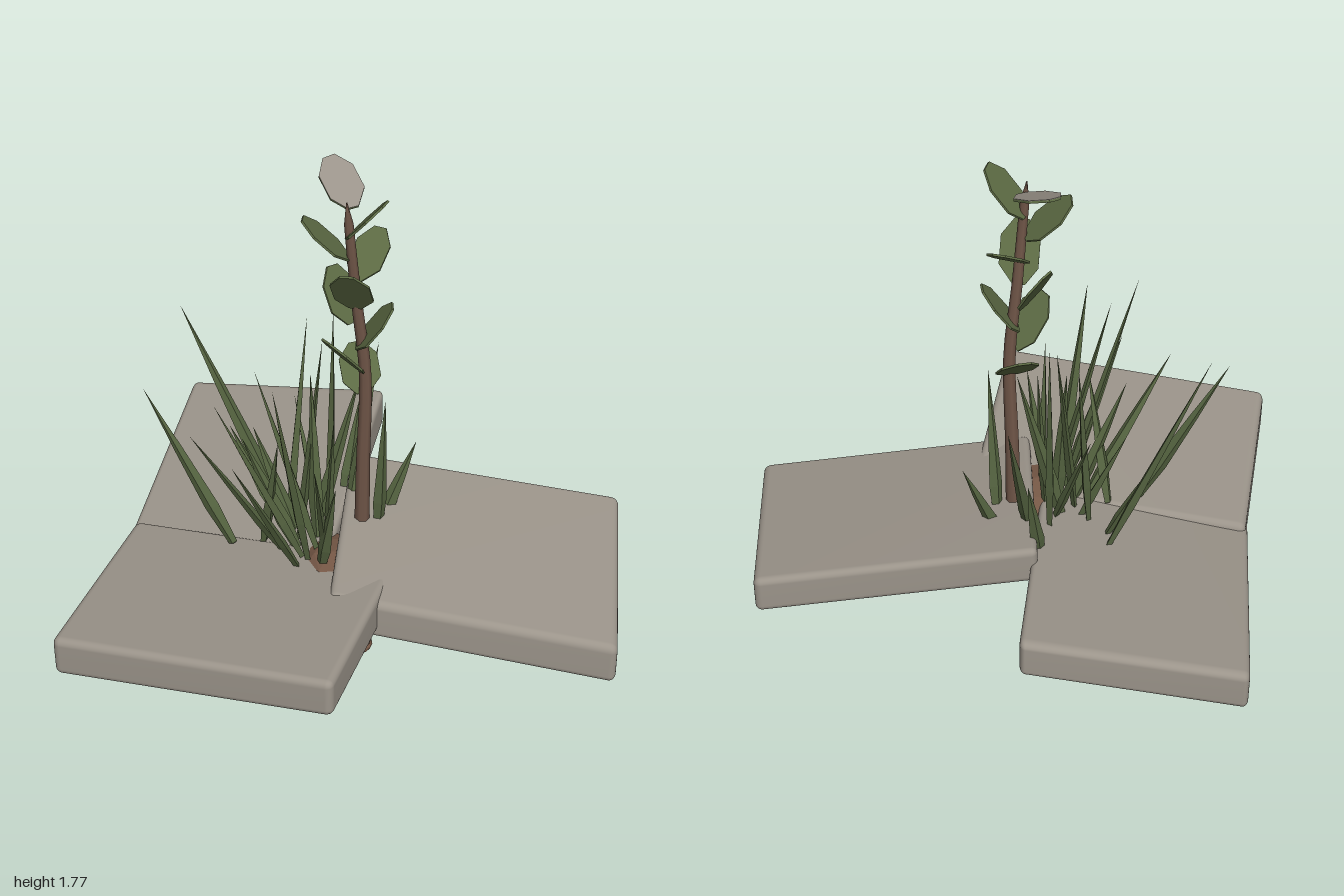
import * as THREE from 'three';
import { mergeVertices } from 'three/addons/utils/BufferGeometryUtils.js';
import { RoundedBoxGeometry } from 'three/addons/geometries/RoundedBoxGeometry.js';

const V = (a) => new THREE.Vector3(...a);

function material(name, color, extra = {}) {
  const m = new THREE.MeshStandardMaterial({ color, ...extra });
  m.name = name;
  return m;
}

function mesh(name, geometry, mat) {
  const m = new THREE.Mesh(geometry, mat);
  m.name = name;
  return m;
}

// Rounded slab bent to four corners, each [x, z, bottom, top], clockwise from above
function slabGeometry([a, b, c, d]) {
  const size = [1.04, 0.155, 0.78];
  let g = new RoundedBoxGeometry(...size, 3, 0.028);
  const p = g.attributes.position;
  const mix = THREE.MathUtils.lerp;
  for (let i = 0; i < p.count; i++) {
    const u = p.getX(i) / size[0] + 0.5;
    const h = p.getY(i) / size[1] + 0.5;
    const v = p.getZ(i) / size[2] + 0.5;
    const [x, z, low, top] = a.map((_, k) => mix(mix(a[k], b[k], u), mix(d[k], c[k], u), v));
    p.setXYZ(i, x, mix(low, top, h), z);
  }
  g.deleteAttribute('normal');
  g.deleteAttribute('uv');
  g.clearGroups();
  g = mergeVertices(g, 1e-4);
  g.computeVertexNormals();
  return g;
}

// Tapered stem that closes to a point at its top
function stemGeometry() {
  const curve = new THREE.CatmullRomCurve3([
    [0.03, 0.25, -0.02], [0.035, 0.6, -0.01], [0.043, 1.0, 0.0],
    [0.015, 1.3, 0.015], [-0.005, 1.55, 0.03], [-0.018, 1.71, 0.03],
  ].map(V));
  const rows = 18, sides = 7;
  const g = new THREE.TubeGeometry(curve, rows, 1, sides);
  const p = g.attributes.position, q = new THREE.Vector3();
  for (let i = 0; i < p.count; i++) {
    const row = Math.floor(i / (sides + 1));
    const centre = curve.getPointAt(row / rows);
    const r = row === rows ? 0.002 : 0.03 - 0.014 * row / rows;
    q.fromBufferAttribute(p, i).sub(centre).multiplyScalar(r).add(centre);
    p.setXYZ(i, q.x, q.y, q.z);
  }
  return g;
}

// Angular leaf plate, unit length along y and unit width along x
function leafGeometry(depth) {
  const outline = [[0.15, 0], [0.5, 0.3], [0.46, 0.74], [0.12, 1],
    [-0.22, 0.97], [-0.5, 0.68], [-0.46, 0.24], [-0.15, 0]];
  return new THREE.ExtrudeGeometry(
    new THREE.Shape(outline.map((q) => new THREE.Vector2(...q))),
    { depth, bevelEnabled: false });
}

// Place a part so that y runs from base to tip, with x along the given side
function align(part, base, tip, side, width, depth) {
  const from = V(base), y = V(tip).sub(from), length = y.length();
  y.normalize();
  const x = V(side).addScaledVector(y, -V(side).dot(y)).normalize();
  const z = new THREE.Vector3().crossVectors(x, y);
  part.quaternion.setFromRotationMatrix(new THREE.Matrix4().makeBasis(x, y, z));
  part.position.copy(from);
  part.scale.set(width, length, depth);
}

export function createModel() {
  const stone = material('stone', 0x9b948a);
  const bark = material('bark', 0x705648);
  const soil = material('soil', 0x765846, { flatShading: true });
  const leafGreen = material('leafGreen', 0x5d6b44, { flatShading: true });
  const grassGreen = material('grassGreen', 0x566541, { flatShading: true });

  const model = new THREE.Group();
  model.name = 'plantedStones';

  // Three overlapping paving slabs
  const slabs = {
    rightSlab: [[-0.045, -0.365, 0.235, 0.388], [0.99, -0.355, 0.105, 0.262],
      [1.0, 0.435, -0.005, 0.165], [-0.045, 0.41, 0.145, 0.305]],
    frontSlab: [[-0.84, -0.07, 0.05, 0.215], [0.185, 0.15, 0.13, 0.288],
      [0.025, 0.925, 0.19, 0.345], [-1.0, 0.705, 0.1, 0.265]],
    backSlab: [[-0.755, -0.93, 0.125, 0.29], [0.04, -0.825, 0.215, 0.375],
      [-0.09, 0.21, 0.1, 0.26], [-0.87, 0.1, 0.005, 0.17]],
  };
  for (const [name, corners] of Object.entries(slabs)) {
    model.add(mesh(name, slabGeometry(corners), stone));
  }

  // Soil showing in the gap between the slabs, and a clod squeezed out below
  const clods = [
    [-0.06, 0.21, 0.15, 0.13, 0.09, 0.19], [0.08, 0.155, 0.48, 0.04, 0.026, 0.05],
  ];
  const lump = new THREE.IcosahedronGeometry(1, 1);
  clods.forEach(([x, y, z, ...radii], i) => {
    const clod = mesh('soilClod' + (i + 1), lump, soil);
    clod.position.set(x, y, z);
    clod.scale.set(...radii);
    model.add(clod);
  });

  // Upright sapling: stem and leaves [base, tip, side direction, width]
  const sapling = new THREE.Group();
  sapling.name = 'sapling';
  sapling.add(mesh('stem', stemGeometry(), bark));
  const leaves = [
    [[0.0, 1.67, 0.0], [-0.1, 1.765, -0.185], [1, 0.08, -0.5], 0.135],
    [[-0.01, 1.57, 0.02], [0.12, 1.74, 0.09], [-0.35, 0, 1], 0.15],
    [[-0.01, 1.49, 0.02], [-0.17, 1.64, 0.03], [0.2, 0, 1], 0.15],
    [[0.01, 1.39, 0.01], [0.09, 1.52, -0.14], [1, 0, 0.3], 0.13],
    [[0.01, 1.29, 0.02], [0.0, 1.49, 0.145], [1, 0, 0.1], 0.145],
    [[0.0, 1.21, 0.0], [-0.085, 1.4, -0.07], [-0.6, 0, 0.8], 0.14],
    [[0.015, 1.11, 0.0], [0.145, 1.29, 0.01], [0.1, 0, 1], 0.145],
    [[0.03, 1.02, 0.01], [-0.08, 1.2, 0.11], [0.7, 0, 0.7], 0.14],
    [[0.035, 0.91, 0.0], [0.0, 1.05, -0.13], [1, 0, -0.2], 0.145],
  ];
  const plate = leafGeometry(0.008);
  leaves.forEach(([base, tip, side, width], i) => {
    const leaf = mesh('leaf' + (i + 1), plate, leafGreen);
    align(leaf, base, tip, side, width, 1);
    sapling.add(leaf);
  });
  // Pale upper face of the top leaf
  const paleFace = mesh('paleLeafFace', leafGeometry(0.002).translate(0, 0, 0.008), stone);
  align(paleFace, ...leaves[0], 1);
  sapling.add(paleFace);
  model.add(sapling);

  // Grass tuft: four-sided tapering blades [base x, base z, tip x, tip y, tip z]
  const grass = new THREE.Group();
  grass.name = 'grassTuft';
  const bladeShape = new THREE.LatheGeometry(
    [[0, 0], [0.6, 0.01], [1, 0.25], [0.6, 0.62], [0, 1]].map((q) => new THREE.Vector2(...q)), 4);
  const blades = [
    [-0.44, 0.08, -0.755, 0.9, 0.04], [-0.31, -0.2, -0.655, 1.11, -0.21],
    [-0.17, 0.14, -0.445, 1.07, 0.355], [-0.25, 0.1, -0.56, 0.83, 0.215],
    [0.09, -0.1, 0.22, 0.6, -0.16], [0.09, -0.04, 0.12, 0.91, 0.03],
    [-0.12, 0.1, -0.33, 1.1, 0.17], [-0.1, -0.1, -0.09, 1.15, -0.18],
    [-0.03, -0.12, 0.06, 0.91, -0.345], [-0.06, -0.24, -0.01, 0.66, -0.33],
    [-0.25, -0.05, -0.19, 1.09, -0.21], [-0.08, 0.15, -0.1, 0.8, 0.34],
    [-0.1, 0.19, -0.03, 0.7, 0.3], [-0.2, 0.08, -0.39, 0.77, 0.12],
    [-0.31, -0.13, -0.48, 0.62, -0.16], [-0.2, 0.03, -0.12, 1.07, -0.09],
    [-0.15, 0.16, -0.25, 1.1, 0.29], [-0.15, -0.02, 0.02, 0.95, -0.06],
    [-0.33, 0.05, -0.25, 0.8, 0.18], [-0.09, 0.05, -0.06, 0.85, 0.08],
    [-0.18, 0.2, -0.39, 0.81, 0.36], [-0.13, 0.03, -0.16, 0.95, -0.05],
    [-0.22, -0.02, -0.38, 0.68, -0.08], [-0.12, -0.03, -0.24, 0.75, -0.2],
  ];
  blades.forEach(([bx, bz, tx, ty, tz], i) => {
    const blade = mesh('grassBlade' + (i + 1), bladeShape, grassGreen);
    const turn = i * 2.4;
    align(blade, [bx, 0.25, bz], [tx, ty, tz], [Math.cos(turn), 0, Math.sin(turn)], 0.028, 0.017);
    grass.add(blade);
  });
  model.add(grass);

  return model;
}
